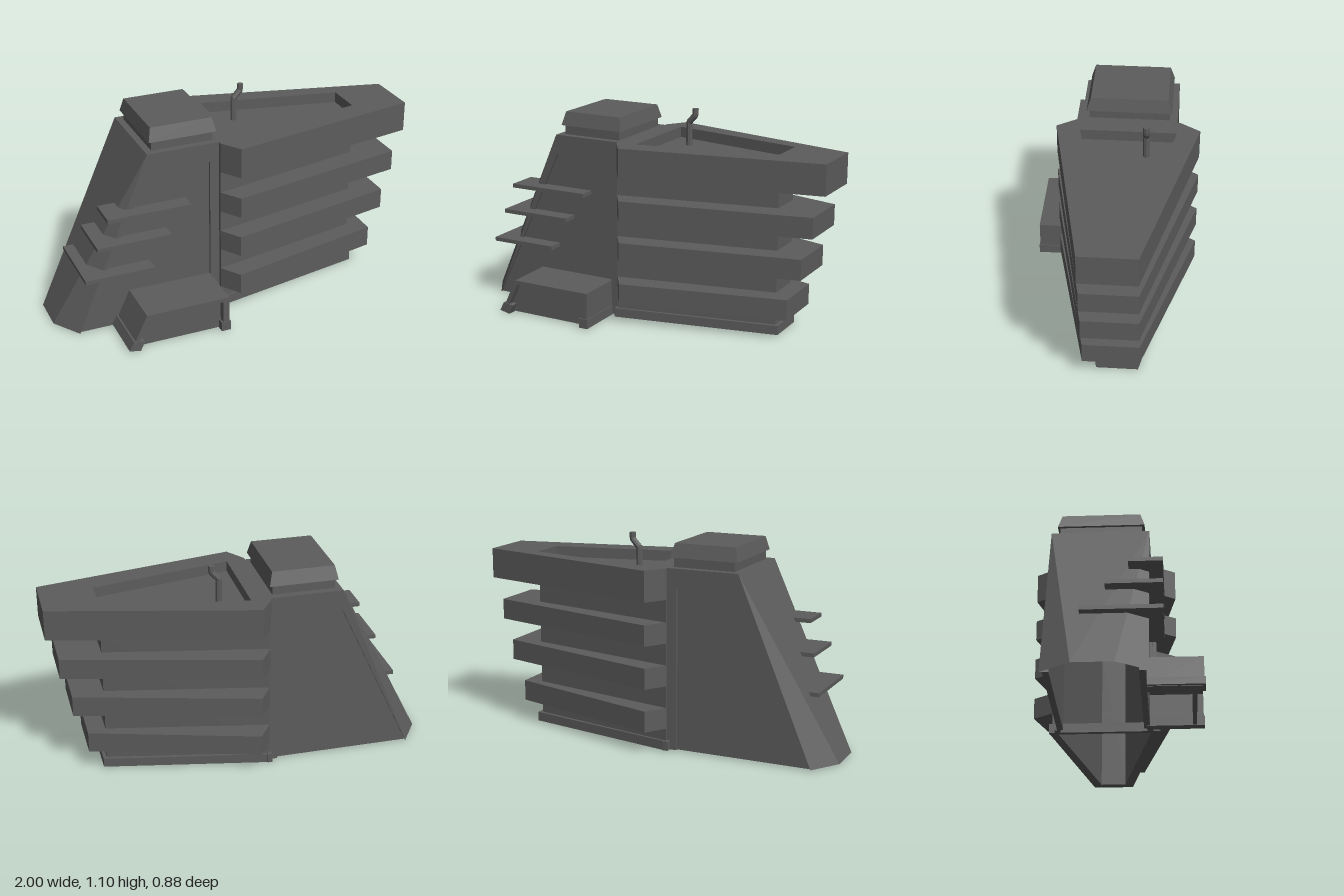
import * as THREE from 'three';

const grey = new THREE.MeshStandardMaterial({ color: 0x5c5c5c, flatShading: true, side: THREE.DoubleSide });
const MID = -0.07; // z of the symmetry plane of tower and hull
const LOW = 0.007; // underside of the body

export function createModel() {
  const model = new THREE.Group();

  const add = (name, geometry) => {
    const mesh = new THREE.Mesh(geometry, grey);
    mesh.name = name;
    model.add(mesh);
  };
  const box = (name, x0, x1, y0, y1, z0, z1) =>
    add(name, new THREE.BoxGeometry(x1 - x0, y1 - y0, z1 - z0)
      .translate((x0 + x1) / 2, (y0 + y1) / 2, (z0 + z1) / 2));
  const polygon = (pts) => new THREE.Shape(pts.map(([a, b]) => new THREE.Vector2(a, b)));
  // Plate from a plan outline of [x, z] points
  const plate = (name, pts, y0, y1, hole) => {
    const flip = (list) => list.map(([x, z]) => [x, -z]);
    const shape = polygon(flip(pts));
    if (hole) shape.holes.push(polygon(flip(hole)));
    const geo = new THREE.ExtrudeGeometry(shape, { depth: y1 - y0, bevelEnabled: false });
    add(name, geo.rotateX(-Math.PI / 2).translate(0, y0, 0));
  };
  // Plate from a front outline of [x, y] points
  const upright = (name, pts, z0, z1) =>
    add(name, new THREE.ExtrudeGeometry(polygon(pts), { depth: z1 - z0, bevelEnabled: false }).translate(0, 0, z0));
  // Flat-sided shell from corner loops
  const shell = (name, faces) => {
    const pos = [];
    for (const f of faces)
      for (let i = 1; i < f.length - 1; i++) pos.push(...f[0], ...f[i], ...f[i + 1]);
    const geo = new THREE.BufferGeometry();
    geo.setAttribute('position', new THREE.Float32BufferAttribute(pos, 3));
    geo.computeVertexNormals();
    add(name, geo);
  };

  // Tower: sloped end, corner facets and top, open below
  const A = [-1, LOW, 0.03], B = [-0.9, LOW, 0.18], C = [-0.505, 0.957, 0.18], D = [-0.12, 0.957, 0.18];
  const back = ([x, y, z]) => [x, y, 2 * MID - z];
  shell('towerShell', [
    [back(A), A, C, back(C)],
    [A, B, C],
    [back(C), back(B), back(A)],
    [back(C), C, D, back(D)],
  ]);

  // Tower sides: raised frame around a recessed panel, front and back
  const frame = [[-0.9, LOW], [-0.505, 0.957], [-0.12, 0.957], [-0.12, LOW],
    [-0.17, LOW], [-0.17, 0.855], [-0.5, 0.855]];
  const panel = [[-0.9, LOW], [-0.5, 0.855], [-0.17, 0.855], [-0.17, LOW]];
  for (const [label, frameZ, panelZ] of [['front', 0.15, 0.135], ['back', -0.32, -0.305]]) {
    upright(label + 'TowerFrame', frame, frameZ, frameZ + 0.03);
    upright(label + 'TowerPanel', panel, panelZ, panelZ + 0.03);
  }

  // Tower cap: neck and tapered roof
  box('capNeck', -0.47, -0.14, 0.957, 1.006, -0.279, 0.142);
  const roof = new THREE.BoxGeometry(0.362, 0.072, 0.447);
  const p = roof.attributes.position;
  for (let i = 0; i < p.count; i++)
    if (p.getY(i) > 0) p.setXYZ(i, p.getX(i) * 0.91, p.getY(i), p.getZ(i) * 0.9);
  add('capRoof', roof.translate(-0.305, 1.042, MID + 0.002));

  // Hull: hollow core open toward the tower, with stacked slabs and a base rim
  const inner = [[-0.12, -0.305], [0.69, -0.135], [0.69, 0], [-0.12, 0.17]];
  const core = [[-0.12, 0.2], [0.72, 0.025], [0.72, -0.16], [-0.12, -0.335]];
  const slab = (end) => [[-0.12, 0.2], [-0.05, 0.305], [end, 0.105], [end, -0.185], [-0.05, -0.44], [-0.12, -0.335]];
  plate('core', [...core, ...inner], 0.02, 0.8);
  [[0.815, 0.12, 0.231], [0.885, 0.346, 0.456], [0.94, 0.57, 0.68]].forEach(([end, y0, y1], i) =>
    plate('slab' + (i + 1), [...slab(end), ...inner], y0, y1));
  plate('baseRim', [[-0.13, 0.215], [0.74, 0.04], [0.74, -0.175], [-0.13, -0.35], ...inner], LOW, 0.056);
  box('baseCrossbar', -0.135, -0.11, LOW, 0.056, -0.35, 0.21);

  // Top deck with a sunken basin
  plate('deckFloor', slab(1), 0.796, 0.9);
  plate('deckRim', slab(1), 0.9, 0.957, [[-0.02, 0.18], [0.72, 0.025], [0.72, -0.17], [-0.02, -0.32]]);

  // Bent pipe in the basin
  const bend = [[0.11, 0.9], [0.11, 1.025], [0.147, 1.065], [0.147, 1.1]];
  const pipePath = new THREE.CurvePath();
  for (let i = 0; i < 3; i++)
    pipePath.add(new THREE.LineCurve3(new THREE.Vector3(...bend[i], -0.17), new THREE.Vector3(...bend[i + 1], -0.17)));
  add('bentPipe', new THREE.TubeGeometry(pipePath, 24, 0.017, 8));
  add('pipeEnd', new THREE.CircleGeometry(0.017, 8).rotateX(-Math.PI / 2).translate(0.147, 1.1, -0.17));

  // Ledges wrapping the sloped corner: [outer x, inner x, back z, slope x, y]
  [[-0.875, -0.505, -0.145, -0.825, 0.331], [-0.805, -0.41, -0.03, -0.736, 0.502],
    [-0.745, -0.3, 0.08, -0.657, 0.652]].forEach(([x0, x1, zb, xs, y], i) =>
    plate('ledge' + (i + 1), [[x0, 0.25], [x1, 0.25], [x1, 0.15], [xs + 0.09, 0.15],
      [xs + 0.02, 0.1], [xs + 0.02, zb], [x0, zb]], y, y + 0.021));

  // Porch: table-like frame, recessed front panel and ground rails
  upright('porchFrame', [[-0.71, LOW], [-0.62, 0.196], [-0.17, 0.196], [-0.17, LOW],
    [-0.205, LOW], [-0.205, 0.175], [-0.605, 0.175], [-0.685, LOW]], 0.15, 0.435);
  upright('porchPanel', [[-0.685, LOW], [-0.605, 0.18], [-0.2, 0.18], [-0.2, LOW]], 0.38, 0.4);
  upright('porchLeftRail', [[-0.215, 0.004], [-0.165, 0.004], [-0.165, 0.055], [-0.215, 0.055]], 0.15, 0.44);
  upright('porchRightRail', [[-0.72, 0.012], [-0.66, 0], [-0.637, 0.05], [-0.695, 0.06]], 0.15, 0.44);

  return model;
}
